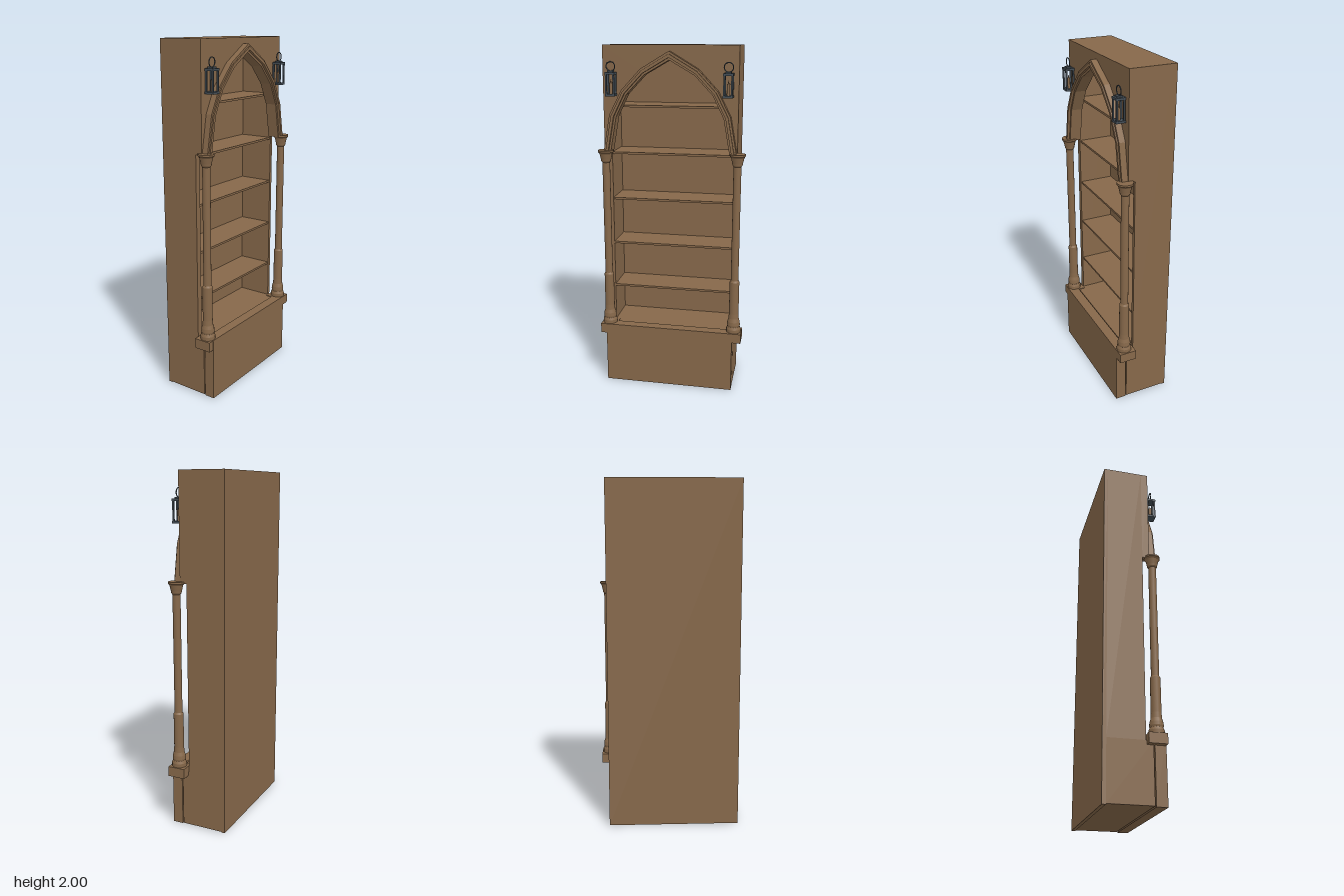
import * as THREE from 'three';

export function createModel() {
  const model = new THREE.Group();
  const wood = new THREE.MeshStandardMaterial({ color: 0x86684a });
  wood.name = 'brown wood';
  const iron = new THREE.MeshStandardMaterial({ color: 0x434d55 });
  iron.name = 'dark iron';

  const add = (parent, name, geometry, material, x = 0, y = 0, z = 0) => {
    const mesh = new THREE.Mesh(geometry, material);
    mesh.name = name;
    mesh.position.set(x, y, z);
    parent.add(mesh);
    return mesh;
  };
  // Box given by its lower and upper corners
  const box = (parent, name, material, x0, x1, y0, y1, z0, z1) =>
    add(parent, name, new THREE.BoxGeometry(x1 - x0, y1 - y0, z1 - z0), material,
      (x0 + x1) / 2, (y0 + y1) / 2, (z0 + z1) / 2);

  const L = -0.388, R = 0.372, BACK = -0.166, MID = -0.007;

  // Cabinet carcass
  box(model, 'backPanel', wood, L, R, 0, 2, BACK, -0.145);
  box(model, 'sideRight', wood, L, -0.355, 0.33, 2, -0.145, 0.06);
  box(model, 'sideLeft', wood, 0.352, R, 0.33, 2, -0.145, 0.06);
  box(model, 'topPanel', wood, -0.355, 0.352, 1.98, 2, -0.145, 0.06);
  box(model, 'lowerCabinet', wood, L, R, 0.004, 0.33, -0.145, 0.1);
  box(model, 'cabinetFloor', wood, -0.355, 0.352, 0.33, 0.36, -0.145, 0.1);
  box(model, 'plinth', wood, L, R, 0, 0.365, 0.106, 0.166);

  // Shelves
  for (const y of [0.58, 0.852, 1.123, 1.394, 1.663]) {
    box(model, 'shelf', wood, -0.355, 0.352, y - 0.006, y + 0.006, -0.145, 0.055);
  }

  // Pointed arch: half outlines, blended from the outer (0) to the inner edge (1)
  const outer = [[0.378, 1.41], [0.34, 1.62], [0.27, 1.756], [0.16, 1.873], [0, 1.968]];
  const inner = [[0.338, 1.41], [0.302, 1.61], [0.24, 1.735], [0.14, 1.84], [0, 1.92]];
  const archLine = (t) => {
    const half = outer.map(([x, y], i) => [x + (inner[i][0] - x) * t, y + (inner[i][1] - y) * t]);
    const rightHalf = half.map(([x, y]) => new THREE.Vector2(MID - x, y));
    const leftHalf = half.slice(0, -1).reverse().map(([x, y]) => new THREE.Vector2(MID + x, y));
    return [...rightHalf, ...leftHalf];
  };
  const extrude = (name, points, z0, z1) => add(model, name,
    new THREE.ExtrudeGeometry(new THREE.Shape(points), { depth: z1 - z0, bevelEnabled: false }),
    wood, 0, 0, z0);
  const archBand = (name, t0, t1, z0, z1) =>
    extrude(name, [...archLine(t0), ...archLine(t1).reverse()], z0, z1);

  extrude('archPanel', [
    new THREE.Vector2(L, 2), new THREE.Vector2(L, 1.41), ...archLine(0.6),
    new THREE.Vector2(R, 1.41), new THREE.Vector2(R, 2),
  ], 0.06, 0.1);
  archBand('archOuterMoulding', 0, 0.3, 0.1, 0.135);
  archBand('archMainMoulding', 0.3, 0.7, 0.1, 0.143);
  archBand('archInnerMoulding', 0.7, 1, 0.06, 0.128);

  // Columns, mirrored left and right
  const shaftProfile = [
    [0, 0.36], [0.042, 0.36], [0.042, 0.385], [0.036, 0.4], [0.038, 0.41], [0.036, 0.43],
    [0.03, 0.45], [0.028, 0.48], [0.028, 0.675], [0.022, 0.685], [0.022, 1.36],
  ];
  const capitalProfile = [
    [0.022, 1.35], [0.028, 1.358], [0.03, 1.37], [0.037, 1.4], [0.045, 1.41], [0.045, 1.42], [0, 1.42],
  ];
  // Each profile segment is turned separately so that its edges stay crisp
  const turned = (parent, name, profile) => {
    const group = new THREE.Group();
    group.name = name;
    for (let i = 1; i < profile.length; i++) {
      const pair = [profile[i - 1], profile[i]].map(([r, y]) => new THREE.Vector2(r, y));
      add(group, name + 'Section', new THREE.LatheGeometry(pair, 16), wood);
    }
    parent.add(group);
  };
  for (const side of [-1, 1]) {
    const column = new THREE.Group();
    column.name = side < 0 ? 'columnRight' : 'columnLeft';
    column.position.set(side * 0.376, 0, 0.12);
    turned(column, 'shaft', shaftProfile);
    turned(column, 'capital', capitalProfile);
    box(column, 'footBlock', wood, -0.047, 0.047, 0.307, 0.364, -0.055, 0.045);
    model.add(column);
  }

  // Lanterns with open frames and candles
  for (const x of [-0.334, 0.318]) {
    const lantern = new THREE.Group();
    lantern.name = 'lantern';
    lantern.position.set(x, 0, 0.13);
    box(lantern, 'lanternBase', iron, -0.027, 0.027, 1.725, 1.737, -0.027, 0.027);
    box(lantern, 'lanternRoof', iron, -0.027, 0.027, 1.842, 1.854, -0.027, 0.027);
    box(lantern, 'lanternCap', iron, -0.016, 0.016, 1.854, 1.862, -0.016, 0.016);
    for (const px of [-1, 1]) {
      for (const pz of [-1, 1]) {
        add(lantern, 'lanternPost', new THREE.BoxGeometry(0.009, 0.106, 0.009), iron,
          px * 0.021, 1.79, pz * 0.021);
      }
    }
    add(lantern, 'candle', new THREE.CylinderGeometry(0.009, 0.009, 0.06, 10), wood, 0, 1.767, 0);
    add(lantern, 'flame', new THREE.ConeGeometry(0.005, 0.02, 8), wood, 0, 1.807, 0);
    add(lantern, 'lanternRing', new THREE.TorusGeometry(0.025, 0.003, 6, 20), iron, 0, 1.885, 0);
    model.add(lantern);
  }

  return model;
}
